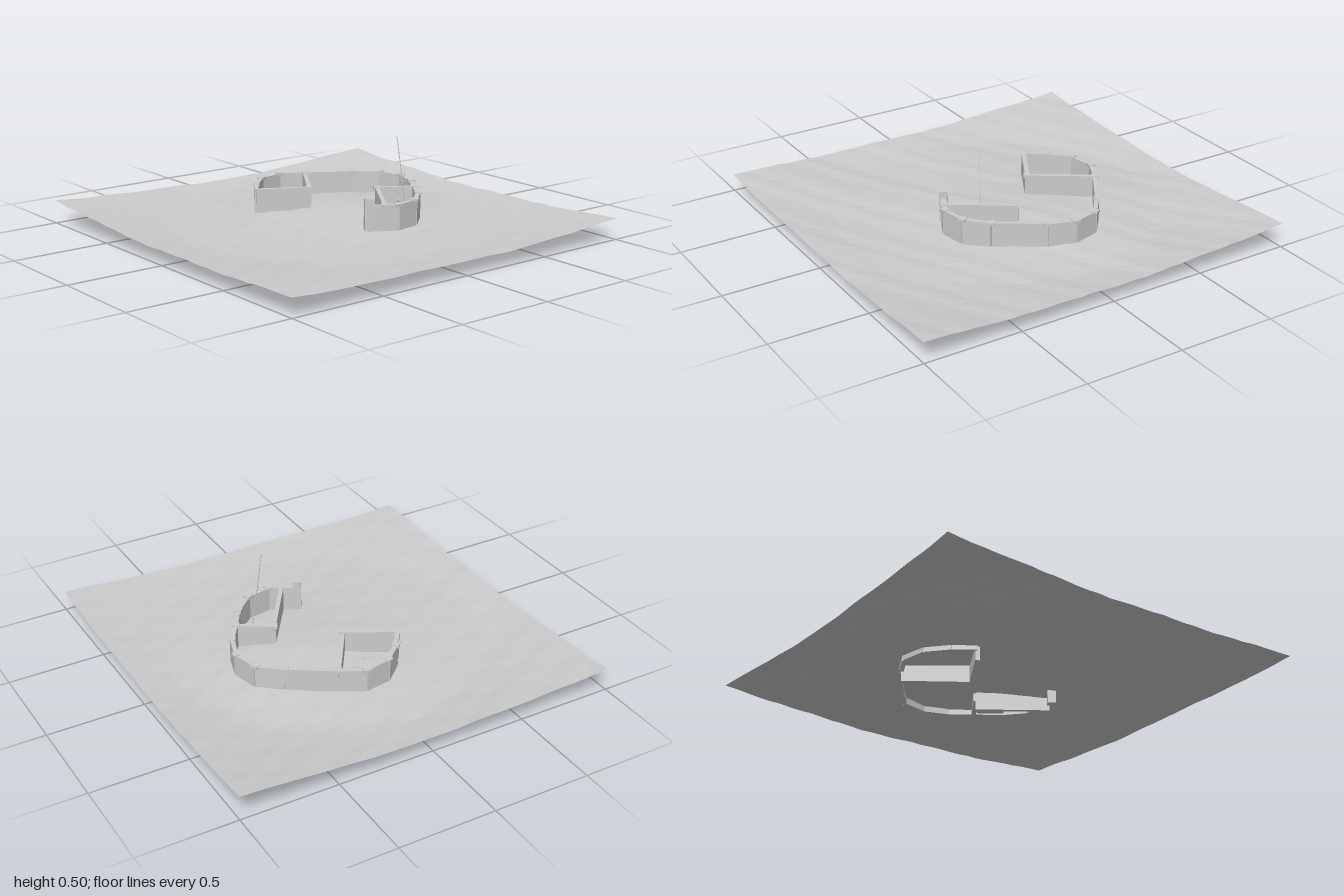
import * as THREE from 'three';

const mat = new THREE.MeshStandardMaterial({ color: 0xcccccc, flatShading: true });
const groundMat = new THREE.MeshStandardMaterial({ color: 0xcccccc, flatShading: true, side: THREE.DoubleSide });

// Ground height: low mound under the walls, a ring valley, rising corners, fine roughness
function ground(x, z) {
  const mound = 0.043 * Math.exp(-((x - 0.18) ** 2 + (z + 0.12) ** 2) / 0.2);
  const rise = Math.max(0, (Math.hypot(x, z) - 0.8) / 0.614);
  const cornerHeight = 0.056 + 0.006 * x - 0.0145 * z + 0.002 * x * z;
  const ripple = 0.003 * Math.sin(6 * x + 9 * z) + 0.0015 * Math.sin(17 * x + 31 * z);
  const rough = 0.0015 * Math.sin(57 * x + 91 * z) * Math.cos(43 * z - 71 * x);
  return 0.055 + mound + rise * cornerHeight + ripple + rough;
}

function add(parent, name, geometry, x, y, z, ry = 0) {
  const m = new THREE.Mesh(geometry, mat);
  m.name = name;
  m.position.set(x, y, z);
  m.rotation.y = ry;
  parent.add(m);
  return m;
}

const angle = (a, b) => Math.atan2(a[1] - b[1], b[0] - a[0]);

// Upright slab between two [x, z] points
function wall(parent, name, a, b, low, high, thick = 0.022) {
  const len = Math.hypot(b[0] - a[0], b[1] - a[1]);
  add(parent, name, new THREE.BoxGeometry(len, high - low, thick),
    (a[0] + b[0]) / 2, (low + high) / 2, (a[1] + b[1]) / 2, angle(a, b));
}

function post(parent, name, p, ry, low, high, size = 0.036) {
  add(parent, name, new THREE.BoxGeometry(size, high - low, size), p[0], (low + high) / 2, p[1], ry);
}

// Round bar between two 3D points
function bar(parent, name, a, b, r0, r1 = r0) {
  const dir = b.clone().sub(a);
  const m = add(parent, name, new THREE.CylinderGeometry(r1, r0, dir.length(), 6), 0, 0, 0);
  m.position.copy(a).lerp(b, 0.5);
  m.quaternion.setFromUnitVectors(new THREE.Vector3(0, 1, 0), dir.normalize());
}

export function createModel() {
  const model = new THREE.Group();
  const V = (x, y, z) => new THREE.Vector3(x, y, z);

  // Terrain
  const geo = new THREE.PlaneGeometry(2, 2, 32, 32).rotateX(-Math.PI / 2);
  const pos = geo.attributes.position;
  for (let i = 0; i < pos.count; i++) pos.setY(i, ground(pos.getX(i), pos.getZ(i)));
  geo.computeVertexNormals();
  const terrain = new THREE.Mesh(geo, groundMat);
  terrain.name = 'terrain';
  model.add(terrain);

  // Curved outer wall with a square cap at each bend
  const outer = new THREE.Group();
  outer.name = 'outerWall';
  model.add(outer);
  const path = [[-0.235, -0.305], [-0.165, -0.405], [-0.065, -0.495], [0.07, -0.52], [0.19, -0.46],
    [0.405, -0.32], [0.515, -0.23], [0.548, -0.095], [0.505, 0.035], [0.43, 0.14], [0.355, 0.26],
    [0.25, 0.355], [0.12, 0.378], [0.06, 0.35], [-0.01, 0.31]];
  for (let i = 0; i < path.length - 1; i++) {
    wall(outer, 'wallPanel', path[i], path[i + 1], 0.05, 0.195);
    if (i > 0) post(outer, 'wallCap', path[i], angle(path[i - 1], path[i + 1]), 0.185, 0.199);
  }
  post(outer, 'gatePost', path[14], -0.55, 0.005, 0.23, 0.042);

  // Straight inner walls closing off the two rooms, on deep footings
  const inner = new THREE.Group();
  inner.name = 'innerWalls';
  model.add(inner);
  const backCorner = [0, -0.175], frontCorner = [0.27, 0.04];
  wall(inner, 'backRoomSide', path[0], backCorner, 0, 0.195);
  wall(inner, 'backRoomFront', backCorner, path[4], 0, 0.195);
  wall(inner, 'frontRoomSide', path[13], frontCorner, 0, 0.195);
  wall(inner, 'frontRoomBack', frontCorner, path[9], 0.05, 0.195);
  post(inner, 'backCornerCap', backCorner, -0.55, 0.185, 0.199);
  post(inner, 'frontCornerCap', frontCorner, -0.55, 0.185, 0.199);

  // Framed hearth with a ring of stones and leaning logs
  const hearth = new THREE.Group();
  hearth.name = 'hearth';
  hearth.position.set(0.308, 0.05, 0.16);
  hearth.rotation.y = -0.58;
  model.add(hearth);
  add(hearth, 'hearthFloor', new THREE.BoxGeometry(0.12, 0.045, 0.135), 0, 0.0225, 0);
  for (const s of [-1, 1]) {
    add(hearth, 'hearthRim', new THREE.BoxGeometry(0.012, 0.06, 0.135), s * 0.056, 0.03, 0);
    add(hearth, 'hearthRim', new THREE.BoxGeometry(0.124, 0.06, 0.012), 0, 0.03, s * 0.063);
  }
  for (let i = 0; i < 8; i++) {
    const a = (i / 8) * Math.PI * 2;
    add(hearth, 'hearthStone', new THREE.IcosahedronGeometry(0.014, 0),
      0.036 * Math.cos(a), 0.053, 0.038 * Math.sin(a), a * 2);
  }
  for (let i = 0; i < 5; i++) {
    const a = (i / 5) * Math.PI * 2;
    bar(hearth, 'log', V(0.024 * Math.cos(a), 0.045, 0.024 * Math.sin(a)),
      V(-0.006 * Math.cos(a), 0.095, -0.006 * Math.sin(a)), 0.005);
  }

  // Leaning mast with short crossed rungs
  const mast = new THREE.Group();
  mast.name = 'mast';
  model.add(mast);
  const foot = V(0.272, 0.06, 0.273), tip = V(0.225, 0.495, 0.243);
  bar(mast, 'mastPole', foot, tip, 0.003, 0.002);
  [0.27, 0.288, 0.306].forEach((y, i) => {
    const c = foot.clone().lerp(tip, (y - foot.y) / (tip.y - foot.y));
    const dz = i === 1 ? -0.012 : 0.009;
    bar(mast, 'mastRung', V(c.x - 0.015, y, c.z - dz), V(c.x + 0.015, y, c.z + dz), 0.002);
  });

  // Loose stones on the back room floor
  [[-0.08, -0.33], [0.02, -0.345], [-0.05, -0.285], [0.1, -0.43], [-0.06, -0.27]].forEach(([x, z], i) => {
    const s = add(model, 'looseStone', new THREE.IcosahedronGeometry(0.008, 0), x, ground(x, z) + 0.003, z, i);
    s.scale.set(1.2, 0.8, 0.8);
  });

  return model;
}
